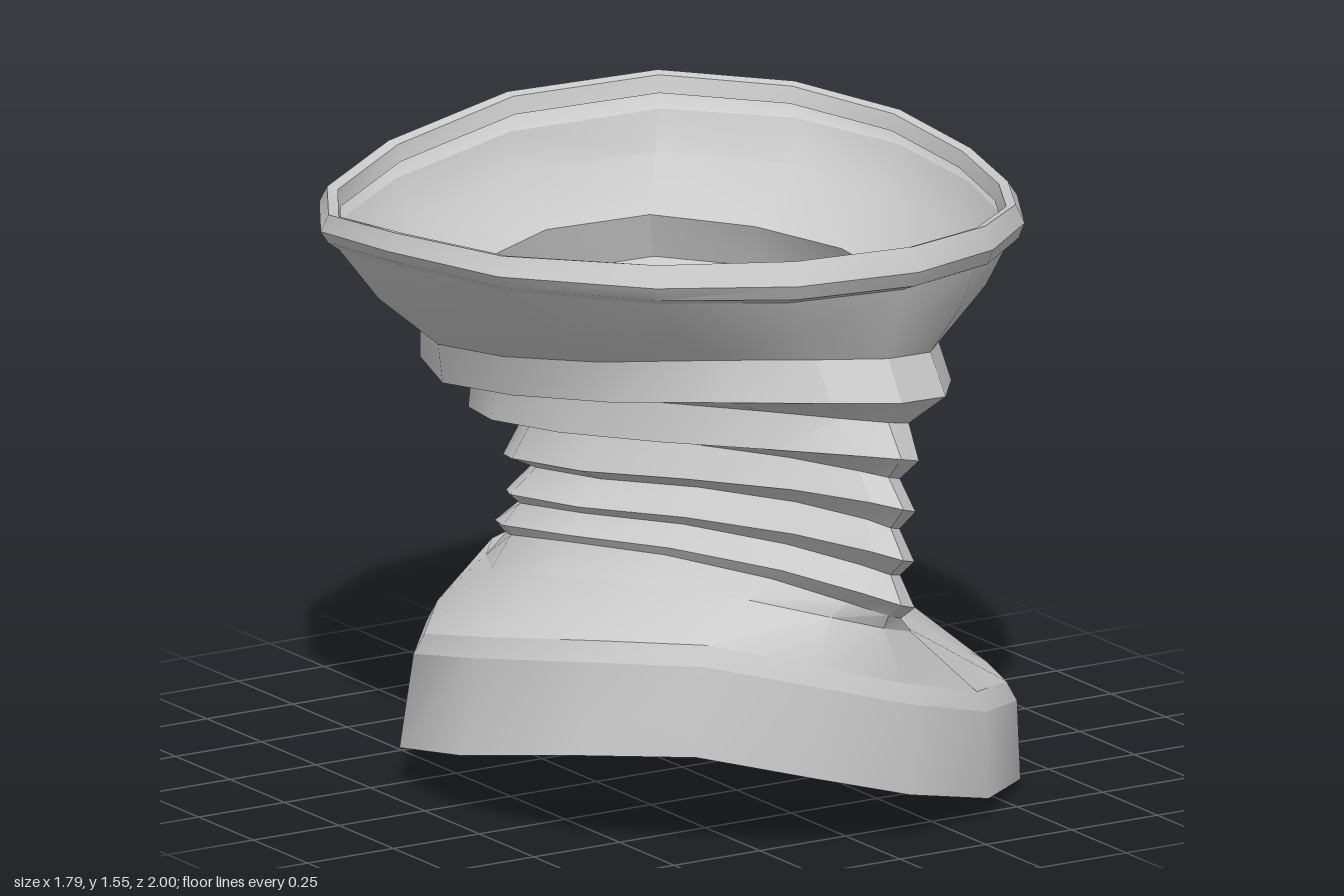
import * as THREE from 'three';
import { toCreasedNormals } from 'three/addons/utils/BufferGeometryUtils.js';

const CX = 0.05;   // x of the shape's spine
const SIDES = 16;

// Plan outlines [x, z], from the back round through +x, the front and -x.
const OVAL = [[0.11, -1], [0.51, -0.92], [0.78, -0.7], [0.89, -0.38], [0.86, 0], [0.74, 0.36], [0.57, 0.66], [0.33, 0.89],
  [0.05, 0.99], [-0.27, 0.94], [-0.57, 0.76], [-0.83, 0.45], [-0.9, 0.06], [-0.83, -0.36], [-0.58, -0.76], [-0.27, -0.96]];
const TEARDROP = [[0.17, -0.73], [0.33, -0.68], [0.45, -0.5], [0.54, -0.31], [0.5, 0], [0.35, 0.3], [0.2, 0.6], [0.12, 0.82],
  [0.05, 0.85], [-0.05, 0.8], [-0.18, 0.65], [-0.32, 0.38], [-0.41, 0.1], [-0.41, -0.2], [-0.3, -0.48], [-0.1, -0.66]];
const WAIST = [[0.12, -0.6], [0.22, -0.63], [0.27, -0.5], [0.36, -0.24], [0.29, 0], [0.18, 0.22], [0.1, 0.42], [0.11, 0.77],
  [0.05, 0.82], [0, 0.79], [-0.09, 0.62], [-0.2, 0.36], [-0.31, 0.1], [-0.31, -0.2], [-0.2, -0.4], [-0.02, -0.54]];

// Scales an outline so that it reaches 1 on each of its four sides.
function normalise(outline) {
  const xs = outline.map(p => p[0] - CX), zs = outline.map(p => p[1]);
  const r = Math.max(...xs), l = -Math.min(...xs), f = Math.max(...zs), b = -Math.min(...zs);
  return xs.map((x, i) => [x / (x > 0 ? r : l), zs[i] / (zs[i] > 0 ? f : b)]);
}
const outlines = [OVAL, TEARDROP, WAIST].map(normalise);

// One ring: extents at +x, -x, front, back; heights there; blend from oval (0) through
// teardrop (1) to waist (2); dip of the back corner and lift of the front corner at -x.
function ring([xr, xl, zf, zb, yr, yl, yf, yb, blend, dip = 0, lift = 0]) {
  const step = Math.min(Math.floor(blend), 1);
  return outlines[0].map(([ou, ov], i) => {
    const from = outlines[step][i], to = outlines[step + 1][i];
    const u = THREE.MathUtils.lerp(from[0], to[0], blend - step);
    const v = THREE.MathUtils.lerp(from[1], to[1], blend - step);
    const length = Math.hypot(ou, ov);
    const wx = (ou / length) ** 2;
    const back = Math.max(0, (-0.65 * ou - 0.76 * ov) / length) ** 4;
    const front = Math.max(0, (-0.65 * ou + 0.76 * ov) / length) ** 4;
    const y = wx * (ou > 0 ? yr : yl) + (1 - wx) * (ov > 0 ? yf : yb) - dip * back + lift * front;
    return [CX + u * (u > 0 ? xr - CX : CX - xl), y, v * (v > 0 ? zf : -zb)];
  });
}

// Skins a stack of rings listed from the top down.
function loft(name, rings, material, crease = 0.6) {
  const index = [];
  for (let i = 0; i < rings.length - 1; i++) {
    for (let j = 0; j < SIDES; j++) {
      const k = (j + 1) % SIDES;
      const a = i * SIDES + j, b = i * SIDES + k, c = a + SIDES, d = b + SIDES;
      index.push(a, b, d, a, d, c);
    }
  }
  const geometry = new THREE.BufferGeometry();
  geometry.setAttribute('position', new THREE.Float32BufferAttribute(rings.flat(2), 3));
  geometry.setIndex(index);
  const mesh = new THREE.Mesh(toCreasedNormals(geometry, crease), material);
  mesh.name = name;
  return mesh;
}

export function createModel() {
  const group = new THREE.Group();
  group.name = 'bellowsBoot';
  const material = new THREE.MeshStandardMaterial({ color: 0xcccccc, side: THREE.DoubleSide });

  // Rolled lip around the open top
  const lip = [
    [0.83, -0.85, 0.93, -0.94, 1.41, 1.47, 1.49, 1.46, 0, 0.12],
    [0.84, -0.855, 0.945, -0.95, 1.45, 1.52, 1.54, 1.505, 0, 0.125],
    [0.865, -0.88, 0.975, -0.98, 1.455, 1.525, 1.55, 1.51, 0, 0.125],
    [0.89, -0.9, 1, -1, 1.425, 1.48, 1.49, 1.465, 0, 0.12],
    [0.875, -0.88, 0.98, -0.985, 1.385, 1.45, 1.45, 1.43, 0, 0.12],
    [0.86, -0.85, 0.93, -0.965, 1.37, 1.43, 1.43, 1.41, 0, 0.12],
  ].map(ring);
  group.add(loft('rimLip', lip, material));

  // Flared bowl down to the first fold
  const bowlEnd = ring([0.67, -0.57, 0.86, -0.84, 1.14, 1.15, 1.22, 1.18, 0.35, 0.1, 0.05]);
  const bowl = [
    lip[lip.length - 1],
    ring([0.81, -0.73, 0.9, -0.945, 1.26, 1.28, 1.33, 1.31, 0.1, 0.11, 0.02]),
    bowlEnd,
  ];
  group.add(loft('flaredBowl', bowl, material));

  // Stepped folds of the neck, each a band with a ledge under it
  const folds = [
    bowlEnd,
    ...[
      [0.72, -0.55, 0.92, -0.87, 1.03, 1.05, 1.12, 1.06, 0.4, 0.1, 0.05],
      [0.56, -0.42, 0.86, -0.74, 0.97, 1.04, 1.06, 1.04, 0.9, 0.08, 0.04],
      [0.55, -0.43, 0.92, -0.75, 0.89, 0.94, 0.98, 0.87, 1, 0.05, 0.04],
      [0.4, -0.33, 0.86, -0.62, 0.82, 0.92, 0.92, 0.86, 1.7, 0.06, 0.04],
      [0.42, -0.37, 0.93, -0.68, 0.75, 0.83, 0.85, 0.73, 1.7, 0.04, 0.05],
      [0.36, -0.31, 0.87, -0.6, 0.71, 0.8, 0.79, 0.72, 2, 0.04, 0.05],
      [0.4, -0.38, 0.93, -0.65, 0.64, 0.74, 0.72, 0.65, 1.8, 0.04, 0.05],
      [0.37, -0.36, 0.87, -0.6, 0.62, 0.72, 0.67, 0.62, 1.8, 0.04, 0.05],
      [0.45, -0.41, 0.92, -0.64, 0.53, 0.67, 0.6, 0.575, 1.4, 0.04, 0.06],
      [0.43, -0.4, 0.86, -0.57, 0.5, 0.65, 0.56, 0.55, 1.3, 0.04, 0.06],
      [0.61, -0.46, 0.84, -0.58, 0.39, 0.57, 0.52, 0.53, 0.75, 0.05, 0.07],
    ].map(ring),
  ];
  group.add(loft('neckFolds', folds, material, 0.5));

  // Base: saddle-shaped lower edge [x, y, z] and the height of the wall's top edge
  const bottom = [[0.07, 0.32, -0.66], [0.33, 0.27, -0.62], [0.55, 0.14, -0.47], [0.67, 0.04, -0.22],
    [0.71, 0, 0.1], [0.7, 0.01, 0.35], [0.6, 0.02, 0.6], [0.38, 0.05, 0.8],
    [0.1, 0.12, 0.88], [-0.15, 0.19, 0.85], [-0.42, 0.255, 0.72], [-0.63, 0.24, 0.5],
    [-0.72, 0.16, 0.1], [-0.67, 0.09, -0.25], [-0.5, 0.12, -0.43], [-0.2, 0.22, -0.6]];
  const topY = [0.46, 0.42, 0.33, 0.23, 0.2, 0.2, 0.22, 0.27, 0.35, 0.42, 0.48, 0.47, 0.4, 0.32, 0.34, 0.42];
  const wallTop = bottom.map(([x, , z], i) => [x > 0 ? x * 0.99 : x * 0.93, topY[i], z < 0 ? z * 1.04 : z * 0.99]);
  const bevel = wallTop.map(([x, y, z]) => [x * 0.96, y + 0.05, z < 0 ? z * 0.96 : z * 0.98]);
  group.add(loft('shoulder', [folds[folds.length - 1], bevel], material));
  group.add(loft('baseBevel', [bevel, wallTop], material));
  group.add(loft('baseWall', [wallTop, bottom], material));

  // Underside closing the base
  const centre = bottom.map(() => [0, 0.15, 0.1]);
  group.add(loft('basePlate', [bottom, centre], material));

  // Centre in plan and set on the ground
  const box = new THREE.Box3().setFromObject(group);
  const mid = box.getCenter(new THREE.Vector3());
  group.children.forEach(mesh => mesh.geometry.translate(-mid.x, -box.min.y, -mid.z));
  return group;
}
